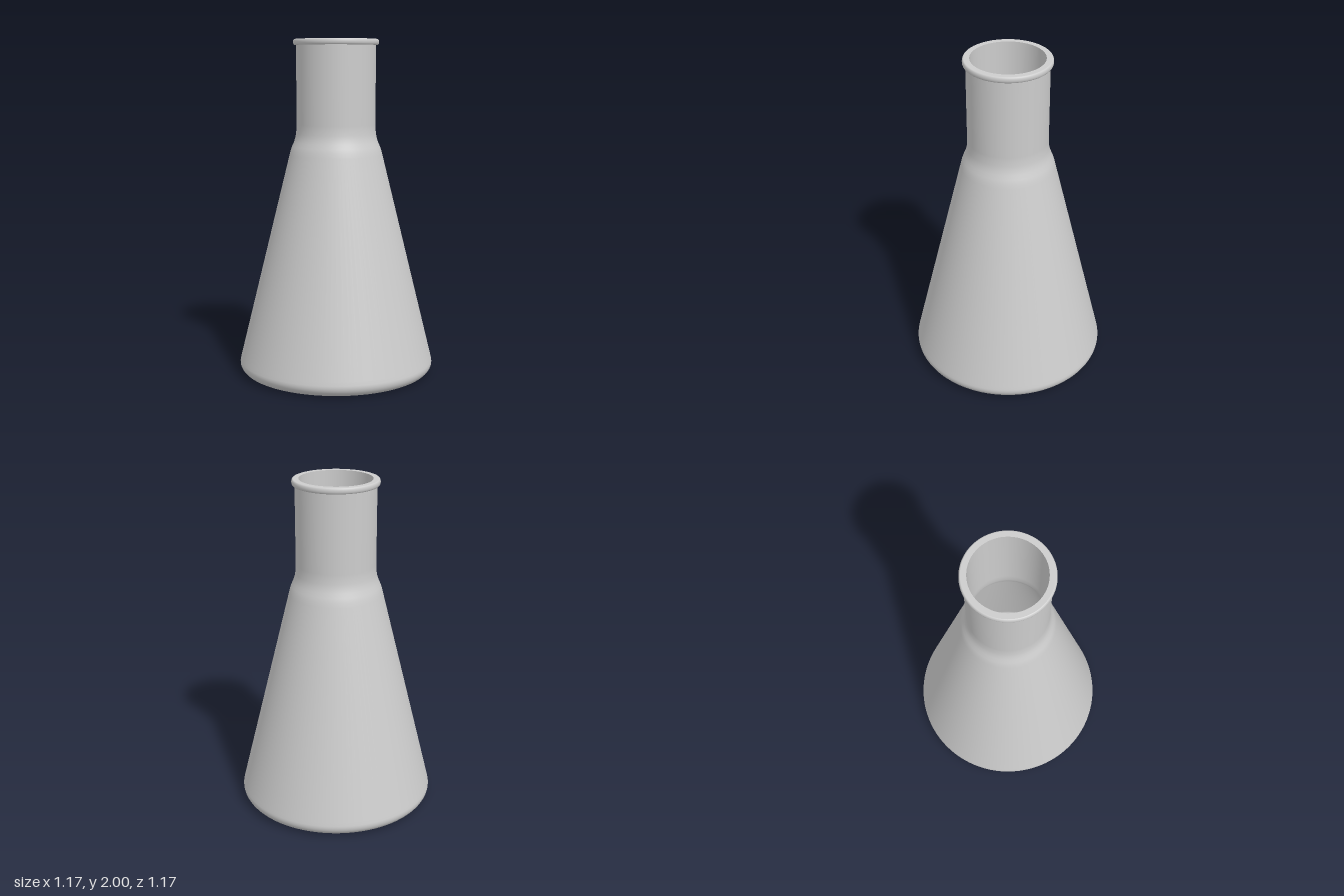
import * as THREE from 'three';

const SEGMENTS = 96;

export function createModel() {
  const group = new THREE.Group();
  group.name = 'conicalFlask';
  const glass = new THREE.MeshStandardMaterial({ color: 0xcccccc });
  glass.name = 'pale grey glass';

  const v = (x, y) => new THREE.Vector2(x, y);

  // Each profile runs so that its surface faces away from the glass wall;
  // separate lathes keep the creases between them sharp.
  function addLathe(name, points) {
    const mesh = new THREE.Mesh(new THREE.LatheGeometry(points, SEGMENTS), glass);
    mesh.name = name;
    group.add(mesh);
  }

  // Points around the rounded foot, at a given wall inset
  const footCurve = (inset) => new THREE.CubicBezierCurve(
    v(0.51 - inset, inset), v(0.56 - inset, inset),
    v(0.592 - inset, 0.035 + inset * 0.8), v(0.583 - inset, 0.075 + inset * 0.6),
  ).getPoints(12);

  // Shoulder blending the cone into the neck
  const shoulder = (inset) => [
    [0.277, 1.32], [0.271, 1.345], [0.262, 1.37], [0.251, 1.395],
    [0.243, 1.42], [0.238, 1.445], [0.235, 1.48],
  ].map(([r, y]) => v(r - inset, y));

  // Flat base
  addLathe('base', [v(0, 0), v(0.51, 0)]);

  // Outer wall: foot, cone, shoulder and neck
  addLathe('outerWall', [
    ...footCurve(0), v(0.578, 0.095), ...shoulder(0), v(0.235, 1.5), v(0.235, 1.968),
  ]);

  // Rolled lip
  addLathe('lipUnderside', [v(0.235, 1.965), v(0.245, 1.965)]);
  const lip = [];
  for (let i = 0; i <= 10; i++) {
    const a = -Math.PI / 2 + (Math.PI * i) / 10;
    lip.push(v(0.244 + 0.009 * Math.cos(a), 1.9825 + 0.0175 * Math.sin(a)));
  }
  addLathe('lipEdge', lip);
  addLathe('lipTop', [v(0.244, 2), v(0.212, 2)]);

  // Hollow interior
  const wall = 0.023;
  addLathe('innerWall', [
    v(0.212, 2), v(0.212, 1.5), ...shoulder(wall).reverse(),
    v(0.578 - wall, 0.11), ...footCurve(wall).reverse(),
  ]);
  addLathe('innerFloor', [v(0.51 - wall, wall), v(0, wall)]);

  return group;
}
